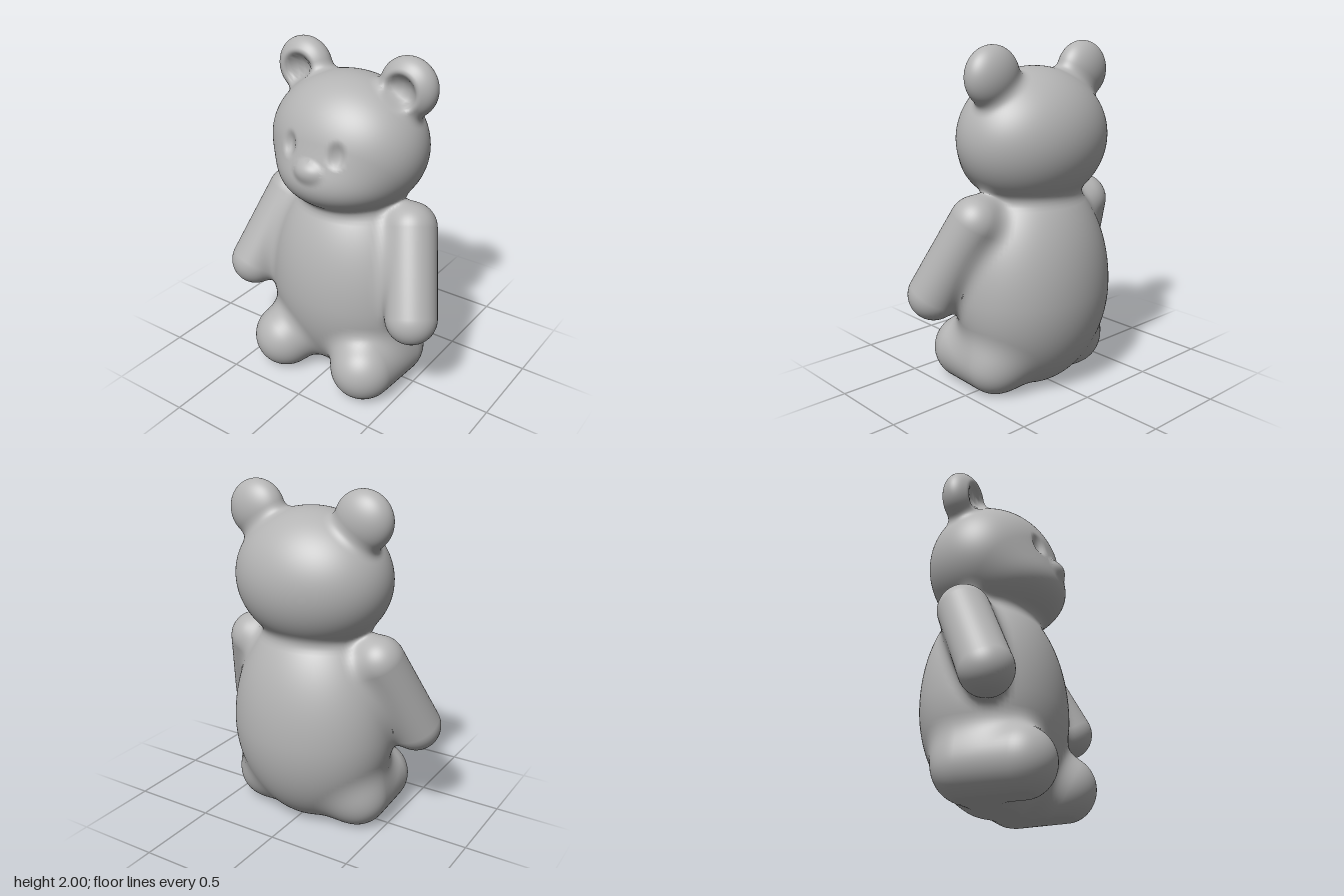
import * as THREE from 'three';

const V = (x, y, z) => new THREE.Vector3(x, y, z);

// Soft masses. Egg: centre c, radii r, optional radius "down" for the lower half.
const body = { c: V(0, 0.57, -0.04), r: V(0.505, 0.71, 0.405), down: 0.6 };
const head = { c: V(0, 1.47, -0.04), r: V(0.475, 0.4, 0.38) };
const muzzle = { c: V(0, 1.325, 0.13), r: V(0.3, 0.17, 0.245) };
const nose = { c: V(0, 1.41, 0.345), r: V(0.085, 0.06, 0.058) };
const ear = { c: V(0.345, 1.83, -0.09), r: V(0.172, 0.17, 0.112) };
const earHollow = { c: V(0.335, 1.82, 0.05), r: V(0.115, 0.115, 0.11) };
const eyeHollow = { c: V(0.16, 1.535, 0.335), r: V(0.045, 0.065, 0.05) };
// Capsules: from a to b with radius r
const arm = { a: V(0.425, 1.035, -0.03), b: V(0.57, 0.595, 0.18), r: 0.15 };
const leg = { a: V(0.31, 0.18, -0.05), b: V(0.29, 0.175, 0.24), r: 0.195 };

// Signed distances
function egg(p, s) {
  const x = p.x - s.c.x, y = p.y - s.c.y, z = p.z - s.c.z;
  const ry = y < 0 && s.down ? s.down : s.r.y;
  const k0 = Math.hypot(x / s.r.x, y / ry, z / s.r.z);
  const k1 = Math.hypot(x / s.r.x ** 2, y / ry ** 2, z / s.r.z ** 2);
  return k1 < 1e-6 ? -0.1 : (k0 * (k0 - 1)) / k1;
}
function capsule(p, s) {
  const d = s.b.clone().sub(s.a);
  const t = THREE.MathUtils.clamp(p.clone().sub(s.a).dot(d) / d.lengthSq(), 0, 1);
  return p.distanceTo(d.multiplyScalar(t).add(s.a)) - s.r;
}
function join(a, b, k) {
  const h = Math.max(k - Math.abs(a - b), 0) / k;
  return Math.min(a, b) - (h * h * k) / 4;
}
const carve = (a, b, k) => -join(-a, b, k);

// The whole blended figure, symmetric in x and flat on the floor
function figure(point) {
  const p = V(Math.abs(point.x), point.y, point.z);
  let d = join(egg(p, head), egg(p, muzzle), 0.12);
  d = carve(d, egg(p, eyeHollow), 0.03);
  d = join(d, egg(p, nose), 0.03);
  d = join(d, egg(p, body), 0.07);
  d = join(d, capsule(p, arm), 0.08);
  d = join(d, capsule(p, leg), 0.1);
  d = join(d, carve(egg(p, ear), egg(p, earHollow), 0.03), 0.06);
  return Math.max(d, -p.y);
}
function slope(p) {
  const e = 0.002;
  const diff = (x, y, z) => figure(V(p.x + x, p.y + y, p.z + z)) - figure(V(p.x - x, p.y - y, p.z - z));
  return V(diff(e, 0, 0), diff(0, e, 0), diff(0, 0, e)).divideScalar(2 * e);
}

// Slide the vertices of a part onto the blended figure, giving soft joints
function blend(geometry) {
  const pos = geometry.attributes.position, nor = geometry.attributes.normal;
  const p = V(0, 0, 0);
  for (let i = 0; i < pos.count; i++) {
    p.fromBufferAttribute(pos, i);
    if (figure(p) < -0.06) continue; // buried inside another part
    for (let step = 0; step < 7; step++) {
      const g = slope(p);
      p.addScaledVector(g, (-0.9 * figure(p)) / Math.max(g.lengthSq(), 0.3));
    }
    p.y = Math.max(p.y, 0);
    const n = slope(p).normalize();
    pos.setXYZ(i, p.x, p.y, p.z);
    nor.setXYZ(i, n.x, n.y, n.z);
  }
  return geometry;
}

function eggGeometry(s, side, w, h) {
  const g = new THREE.SphereGeometry(1, w, h);
  const pos = g.attributes.position;
  for (let i = 0; i < pos.count; i++) {
    const y = pos.getY(i);
    pos.setXYZ(i, pos.getX(i) * s.r.x + side * s.c.x,
      y * (y < 0 && s.down ? s.down : s.r.y) + s.c.y, pos.getZ(i) * s.r.z + s.c.z);
  }
  return g;
}
function capsuleGeometry(s, side) {
  const a = s.a.clone(), b = s.b.clone();
  a.x *= side;
  b.x *= side;
  const axis = b.clone().sub(a);
  const g = new THREE.CapsuleGeometry(s.r, axis.length(), 16, 48, 20);
  g.applyQuaternion(new THREE.Quaternion().setFromUnitVectors(V(0, 1, 0), axis.normalize()));
  const mid = a.add(b).multiplyScalar(0.5);
  return g.translate(mid.x, mid.y, mid.z);
}

export function createModel() {
  const model = new THREE.Group();
  model.name = 'bear';
  const grey = new THREE.MeshStandardMaterial({ color: 0xb4b4b4 });
  grey.name = 'plain grey';
  const add = (name, geometry) => {
    const mesh = new THREE.Mesh(blend(geometry), grey);
    mesh.name = name;
    model.add(mesh);
  };

  // Trunk and head
  add('body', eggGeometry(body, 1, 96, 72));
  add('head', eggGeometry(head, 1, 144, 96));
  add('muzzle', eggGeometry(muzzle, 1, 72, 48));
  add('nose', eggGeometry(nose, 1, 32, 24));

  // Paired parts
  for (const [label, side] of [['left', 1], ['right', -1]]) {
    add(label + 'Ear', eggGeometry(ear, side, 72, 56));
    add(label + 'Arm', capsuleGeometry(arm, side));
    add(label + 'Leg', capsuleGeometry(leg, side));
  }
  return model;
}
